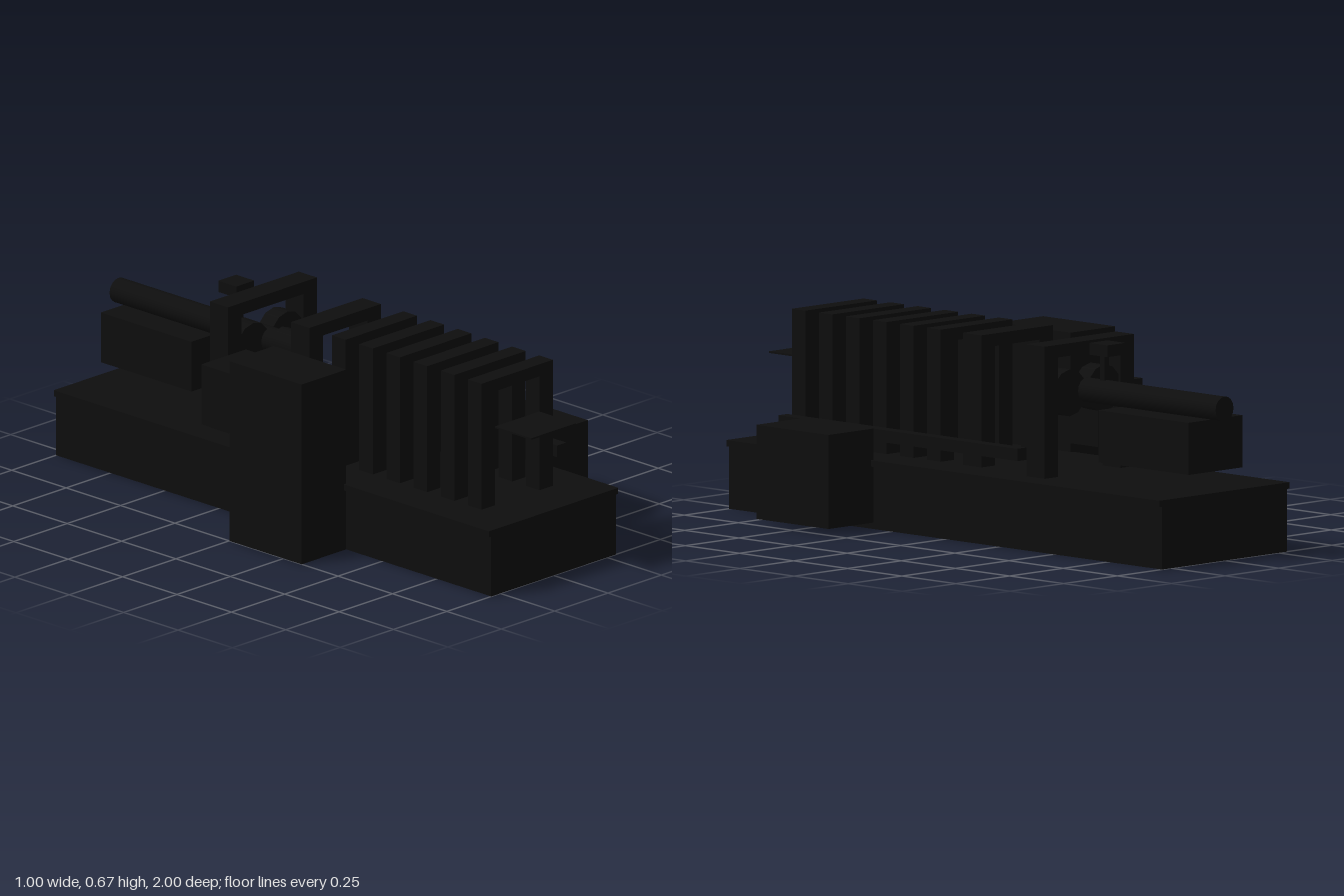
import * as THREE from 'three';

export function createModel() {
  const model = new THREE.Group();
  const black = new THREE.MeshStandardMaterial({ color: 0x0e0e0e });
  black.name = 'black';

  function add(name, geometry, parent = model) {
    const mesh = new THREE.Mesh(geometry, black);
    mesh.name = name;
    parent.add(mesh);
    return mesh;
  }

  // Box given by its minimum and maximum on each axis
  function box(name, x0, x1, y0, y1, z0, z1, parent) {
    const mesh = add(name, new THREE.BoxGeometry(x1 - x0, y1 - y0, z1 - z0), parent);
    mesh.position.set((x0 + x1) / 2, (y0 + y1) / 2, (z0 + z1) / 2);
    return mesh;
  }

  // Cylinder lying along z
  function zCylinder(name, radius, x, y, z0, z1, sides) {
    const geometry = new THREE.CylinderGeometry(radius, radius, z1 - z0, sides);
    geometry.rotateX(Math.PI / 2);
    add(name, geometry).position.set(x, y, (z0 + z1) / 2);
  }

  // Two legs joined by a top beam
  function portal(name, outer, inner, z0, z1) {
    const group = new THREE.Group();
    group.name = name;
    model.add(group);
    box('leftLeg', inner, outer, 0.229, 0.625, z0, z1, group);
    box('rightLeg', -outer, -inner, 0.229, 0.625, z0, z1, group);
    box('topBeam', -outer, outer, 0.625, 0.667, z0, z1, group);
  }

  // Base with overhanging top slab
  box('base', -0.292, 0.292, 0, 0.208, -1, 1);
  box('baseTop', -0.303, 0.303, 0.208, 0.229, -1, 1);

  // Cabinets on the two sides
  box('tallCabinet', -0.5, -0.292, 0, 0.625, 0, 0.333);
  box('lowCabinet', 0.292, 0.5, 0.021, 0.333, 0.333, 0.667);
  box('sideRail', 0.25, 0.292, 0.292, 0.333, -0.333, 0.771);

  // Tunnel of frames, the innermost one thicker
  for (let i = 0; i < 6; i++) {
    const z = 0.833 - i * 0.125;
    portal('tunnelFrame', 0.167, 0.104, z - 0.0625, z);
  }
  portal('tunnelEndFrame', 0.167, 0.104, -0.042, 0.042);
  box('entryTray', -0.104, 0.104, 0.497, 0.503, 0.833, 1);

  // Gate with a pair of rollers
  portal('gate', 0.208, 0.146, -0.375, -0.292);
  for (const side of [-1, 1]) {
    zCylinder('gateRoller', 0.078, side * 0.08, 0.5, -0.365, -0.302, 12);
  }
  box('gateControlBox', -0.333, -0.125, 0.292, 0.5, -0.292, -0.083);

  // Long barrel with collar and support block
  zCylinder('barrel', 0.042, 0, 0.502, -1, -0.2, 16);
  zCylinder('barrelCollar', 0.053, 0, 0.505, -0.25, -0.146, 12);
  box('barrelSupport', -0.125, 0.125, 0.292, 0.465, -0.958, -0.542);

  // Knob on a stem above the barrel
  box('knobStem', -0.011, 0.011, 0.53, 0.63, -0.456, -0.436);
  box('knob', -0.042, 0.042, 0.628, 0.667, -0.5, -0.417);

  return model;
}
